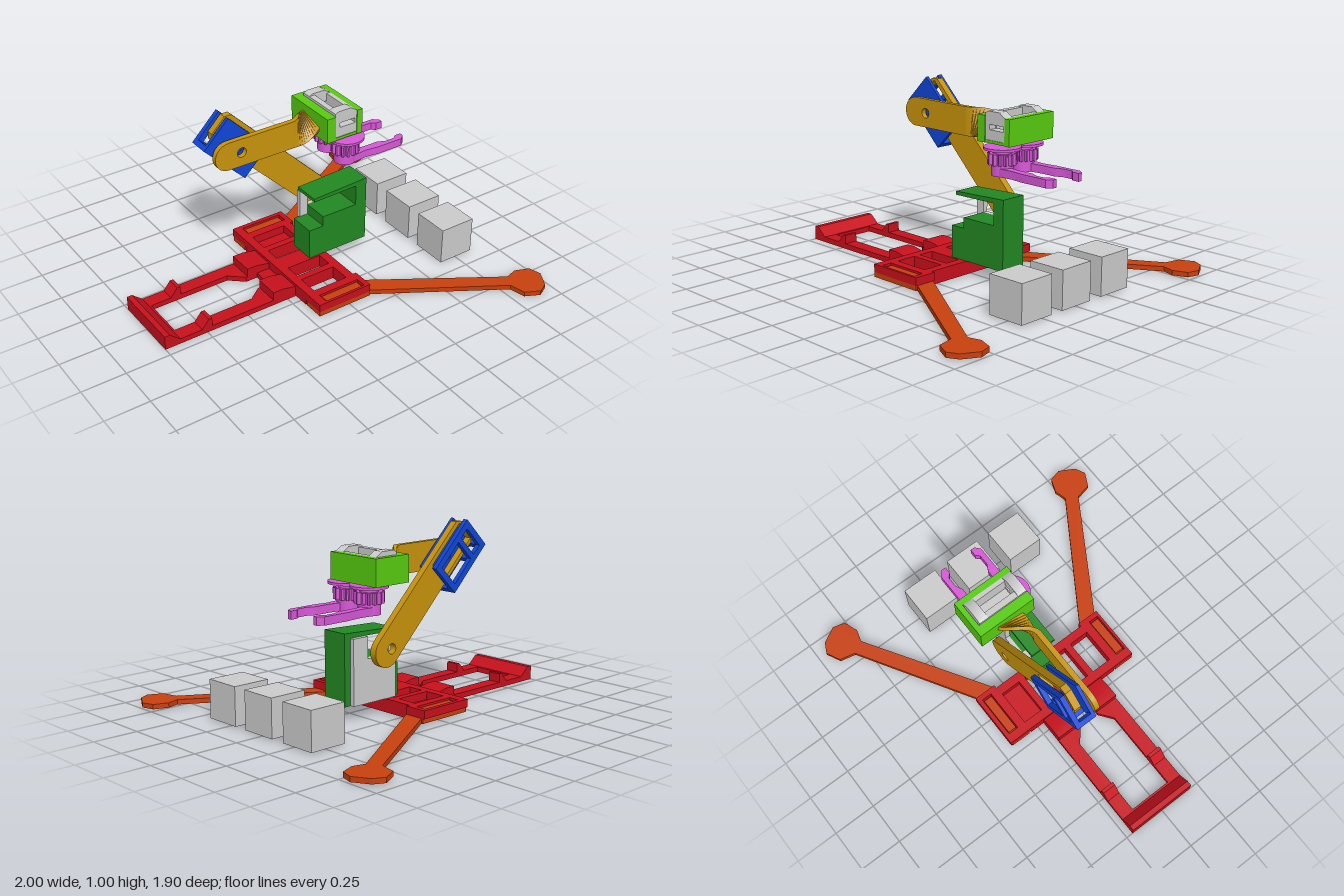
import * as THREE from 'three';
import { toCreasedNormals } from 'three/addons/utils/BufferGeometryUtils.js';

const mat = (color) => new THREE.MeshStandardMaterial({ color });
const RED = mat(0xc8101c), ORANGE = mat(0xc8400e), GOLD = mat(0xc8940c), BLUE = mat(0x1046d8);
const GREEN = mat(0x228822), LIME = mat(0x58cc10), PINK = mat(0xd858d8), GREY = mat(0xcccccc);

function add(parent, name, geo, material) {
  const m = new THREE.Mesh(geo, material);
  m.name = name;
  parent.add(m);
  return m;
}
// box from its two extremes on each axis
function box(x0, x1, y0, y1, z0, z1) {
  return new THREE.BoxGeometry(x1 - x0, y1 - y0, z1 - z0)
    .translate((x0 + x1) / 2, (y0 + y1) / 2, (z0 + z1) / 2);
}
const rect = (x0, x1, y0, y1) => [[x0, y0], [x1, y0], [x1, y1], [x0, y1]];
function circle(cx, cy, r, n = 24) {
  return Array.from({ length: n }, (_, i) => {
    const a = (i / n) * Math.PI * 2;
    return [cx + r * Math.cos(a), cy + r * Math.sin(a)];
  });
}
const vec = (pts) => pts.map(([a, b]) => new THREE.Vector2(a, b));
// upright plate: outline in x, y and thickness in z
function plateXY(outline, z0, z1, holes = []) {
  const s = new THREE.Shape(vec(outline));
  holes.forEach((h) => s.holes.push(new THREE.Path(vec(h))));
  const g = new THREE.ExtrudeGeometry(s, { depth: z1 - z0, bevelEnabled: false });
  return toCreasedNormals(g.translate(0, 0, z0), 0.6);
}
// flat plate: outline in x, z and thickness in y
function plateXZ(outline, y0, y1, holes = []) {
  return plateXY(outline, 0, y1 - y0, holes).rotateX(Math.PI / 2).translate(0, y1, 0);
}
// half circle of points, from angle a0 over PI
function halfRound(cx, cy, r, a0, n = 14) {
  return Array.from({ length: n + 1 }, (_, i) => {
    const a = a0 + (i / n) * Math.PI;
    return [cx + r * Math.cos(a), cy + r * Math.sin(a)];
  });
}

function buildBase(root) {
  const base = new THREE.Group();
  base.name = 'base';
  root.add(base);
  // long battery tray with end wall and rail tabs
  add(base, 'trayFrame', plateXZ(rect(-1, -0.2, -0.21, 0.2), 0, 0.03,
    [[[-0.9, -0.13], [-0.43, -0.13], [-0.35, -0.06], [-0.28, -0.06], [-0.28, 0.06], [-0.35, 0.06], [-0.43, 0.12], [-0.9, 0.12]]]), RED);
  add(base, 'trayEndWall', plateXY([[-1, 0.02], [-0.9, 0.02], [-0.97, 0.08], [-1, 0.08]], -0.21, 0.2), RED);
  for (const s of [-1, 1]) {
    const z0 = s < 0 ? -0.21 : 0.12, z1 = s < 0 ? -0.13 : 0.2;
    add(base, 'trayTab', plateXY([[-0.79, 0.02], [-0.72, 0.02], [-0.72, 0.08], [-0.74, 0.08]], z0, z1), RED);
    add(base, 'trayShoulder', plateXY([[-0.34, 0.02], [-0.18, 0.02], [-0.18, 0.06], [-0.28, 0.08], [-0.34, 0.08]],
      s < 0 ? -0.21 : 0.06, s < 0 ? -0.06 : 0.2), RED);
  }
  // cross frame that carries the two legs
  const holes = [];
  for (const s of [-1, 1]) {
    holes.push(rect(-0.15, 0.1, s * 0.385 - 0.03, s * 0.385 + 0.03));
    holes.push(rect(-0.15, 0.06, s * 0.245 - 0.06, s * 0.245 + 0.06));
    holes.push(rect(-0.15, 0.06, s * 0.1 - 0.045, s * 0.1 + 0.045));
  }
  add(base, 'crossFrame', plateXZ([[-0.2, -0.44], [0.13, -0.44], [0.13, -0.31], [0.11, -0.31], [0.11, 0.3],
    [0.13, 0.3], [0.13, 0.43], [-0.2, 0.43]], 0.035, 0.08, holes), RED);
  add(base, 'crossFoot', plateXZ(rect(-0.2, 0.11, -0.3, 0.3), 0.005, 0.036, holes.filter((_, i) => i % 3)), RED);
  // splayed legs with pad ends
  for (const s of [-1, 1]) {
    const outline = [[-0.2, 0.31], [0.13, 0.31], [0.18, 0.34], [0.83, 0.75], [0.9, 0.73], [0.98, 0.76], [1, 0.83],
      [0.95, 0.92], [0.89, 0.95], [0.81, 0.91], [0.79, 0.82], [0.13, 0.42], [0.13, 0.43], [-0.2, 0.43]];
    add(base, 'leg', plateXZ(outline.map(([x, z]) => [x, z * s]), 0.008, 0.035), ORANGE);
    add(base, 'legPeg', box(-0.14, 0.09, 0.03, 0.07, s * 0.385 - 0.025, s * 0.385 + 0.025), ORANGE);
  }
}

function buildShoulder(root) {
  add(root, 'shoulderHousing', plateXY([[0, 0.08], [0.38, 0.08], [0.38, 0.47], [0.03, 0.455], [0.03, 0.435],
    [0.31, 0.44], [0.31, 0.32], [0.09, 0.32], [0.09, 0.26], [0, 0.26]], -0.11, 0.045), GREEN);
  add(root, 'shoulderServo', plateXY([[0.04, 0.08], [0.34, 0.08], [0.34, 0.44], [0.24, 0.44], [0.24, 0.32],
    [0.09, 0.32], [0.09, 0.42], [0.04, 0.42]], -0.135, -0.105), GREY);
}

function buildArm(root) {
  // upper arm, laid along its own x axis and tilted back about the shoulder pivot
  const arm = new THREE.Group();
  arm.name = 'upperArm';
  arm.position.set(0.14, 0.37, 0);
  arm.rotation.z = Math.PI * 0.75;
  root.add(arm);
  const body = [...halfRound(-0.03, -0.015, 0.085, Math.PI / 2), [0.78, -0.1], [0.81, -0.07], [0.81, 0.04], [0.78, 0.07]];
  add(arm, 'armPlate', plateXY(body, -0.212, -0.172,
    [circle(0, 0, 0.028), rect(0.5, 0.79, -0.075, 0.05)]), GOLD);

  // elbow servo carrier: front plate, back frame and cross bars
  const elbow = new THREE.Group();
  elbow.name = 'elbowCarrier';
  elbow.position.set(0.65, 0.03, 0);
  arm.add(elbow);
  add(elbow, 'carrierFront', plateXY(rect(-0.17, 0.17, -0.105, 0.105), -0.15, -0.13, [circle(0, 0, 0.028)]), BLUE);
  add(elbow, 'carrierBack', plateXY(rect(-0.17, 0.17, -0.105, 0.105), -0.25, -0.222,
    [rect(-0.135, 0.04, -0.07, 0.07), rect(0.07, 0.135, -0.07, 0.07)]), BLUE);
  for (const x of [-0.155, 0.055, 0.155]) {
    add(elbow, 'carrierBar', box(x - 0.015, x + 0.015, 0.075, 0.105, -0.24, -0.14), BLUE);
  }

  // forearm plate, then a twisted blade to the wrist
  add(root, 'forearm', plateXY([...halfRound(-0.42, 0.81, 0.08, Math.PI / 2), [-0.02, 0.73], [-0.02, 0.89]],
    -0.11, -0.08, [circle(-0.34, 0.81, 0.028)]), GOLD);
  const n = 16, pos = [], index = [];
  for (let i = 0; i <= n; i++) {
    const f = i / n, e = f * f * (3 - 2 * f), t = -e * Math.PI / 2;
    const a = 0.08, b = 0.015, c = Math.cos(t), s = Math.sin(t);
    for (const [p, q] of [[a, b], [-a, b], [-a, -b], [a, -b]]) {
      pos.push(-0.02 + 0.22 * f, 0.81 + p * c - q * s, -0.095 - 0.07 * e + p * s + q * c);
    }
    if (i < n) for (let k = 0; k < 4; k++) {
      const p0 = i * 4 + k, p1 = i * 4 + (k + 1) % 4;
      index.push(p0, p1, p0 + 4, p1, p1 + 4, p0 + 4);
    }
  }
  index.push(n * 4, n * 4 + 1, n * 4 + 2, n * 4, n * 4 + 2, n * 4 + 3);
  const blade = new THREE.BufferGeometry();
  blade.setAttribute('position', new THREE.Float32BufferAttribute(pos, 3));
  blade.setIndex(index);
  add(root, 'forearmTwist', toCreasedNormals(blade, 0.7), GOLD);
}

function buildGripper(root) {
  const hand = new THREE.Group();
  hand.name = 'gripper';
  root.add(hand);
  // open-fronted wrist housing with servo inside
  add(hand, 'wristHousing', plateXZ([[0.145, 0], [0.145, -0.34], [0.375, -0.34], [0.375, 0], [0.34, 0],
    [0.34, -0.31], [0.2, -0.31], [0.2, 0]], 0.74, 0.885), LIME);
  add(hand, 'wristFloor', box(0.146, 0.374, 0.741, 0.757, -0.339, -0.001), LIME);
  const side = [[0.2, 0.755], [0.34, 0.755], [0.34, 0.885], [0.3, 0.91], [0.22, 0.91], [0.2, 0.9]];
  const slot = [rect(0.23, 0.33, 0.812, 0.84)];
  add(hand, 'servoFront', plateXY(side, -0.06, -0.005, slot), GREY);
  add(hand, 'servoBack', plateXY(side, -0.305, -0.25, slot), GREY);
  add(hand, 'servoWallLeft', box(0.2, 0.235, 0.755, 0.9, -0.26, -0.05), GREY);
  add(hand, 'servoWallRight', box(0.315, 0.34, 0.755, 0.885, -0.26, -0.05), GREY);
  add(hand, 'servoCore', box(0.23, 0.32, 0.755, 0.79, -0.26, -0.05), GREY);
  add(hand, 'servoShaft', new THREE.CylinderGeometry(0.02, 0.02, 0.17, 16).translate(0.29, 0.69, -0.2), GOLD);

  // two meshing gears, each with a flange, hub and finger
  const mid = -0.12;
  for (const s of [-1, 1]) {
    const zc = mid + s * 0.08, teeth = 14;
    add(hand, 'gearFlange', new THREE.CylinderGeometry(0.1, 0.1, 0.014, 32).translate(0.295, 0.723, zc + s * 0.005), PINK);
    add(hand, 'gearNeck', new THREE.CylinderGeometry(0.05, 0.05, 0.03, 24).translate(0.29, 0.705, zc), PINK);
    const outline = Array.from({ length: teeth * 4 }, (_, i) => {
      const a = ((i + 0.5) / (teeth * 4)) * Math.PI * 2, r = i % 4 < 2 ? 0.08 : 0.062;
      return [0.29 + r * Math.cos(a), zc + r * Math.sin(a)];
    });
    add(hand, 'gear', plateXZ(outline, 0.635, 0.695), PINK);
    add(hand, 'gearHub', new THREE.CylinderGeometry(0.06, 0.06, 0.065, 28).translate(0.29, 0.608, zc), PINK);
    const finger = [[0.27, 0.05], [0.34, 0.075], [0.42, 0.085], [0.51, 0.085], [0.55, 0.105], [0.61, 0.105], [0.63, 0.085],
      [0.67, 0.085], [0.67, 0.11], [0.64, 0.135], [0.48, 0.135], [0.4, 0.125], [0.3, 0.135], [0.25, 0.12], [0.23, 0.08]];
    add(hand, 'finger', plateXZ(finger.map(([x, d]) => [x, mid + s * d]), 0.576, 0.62), PINK);
  }
}

export function createModel() {
  const root = new THREE.Group();
  root.name = 'desktopRobotArm';
  buildBase(root);
  buildShoulder(root);
  buildArm(root);
  buildGripper(root);
  // row of loose cubes
  for (const z of [-0.29, 0.01, 0.305]) {
    add(root, 'cube', box(0.64, 0.855, 0.008, 0.22, z - 0.107, z + 0.107), GREY);
  }
  return root;
}
